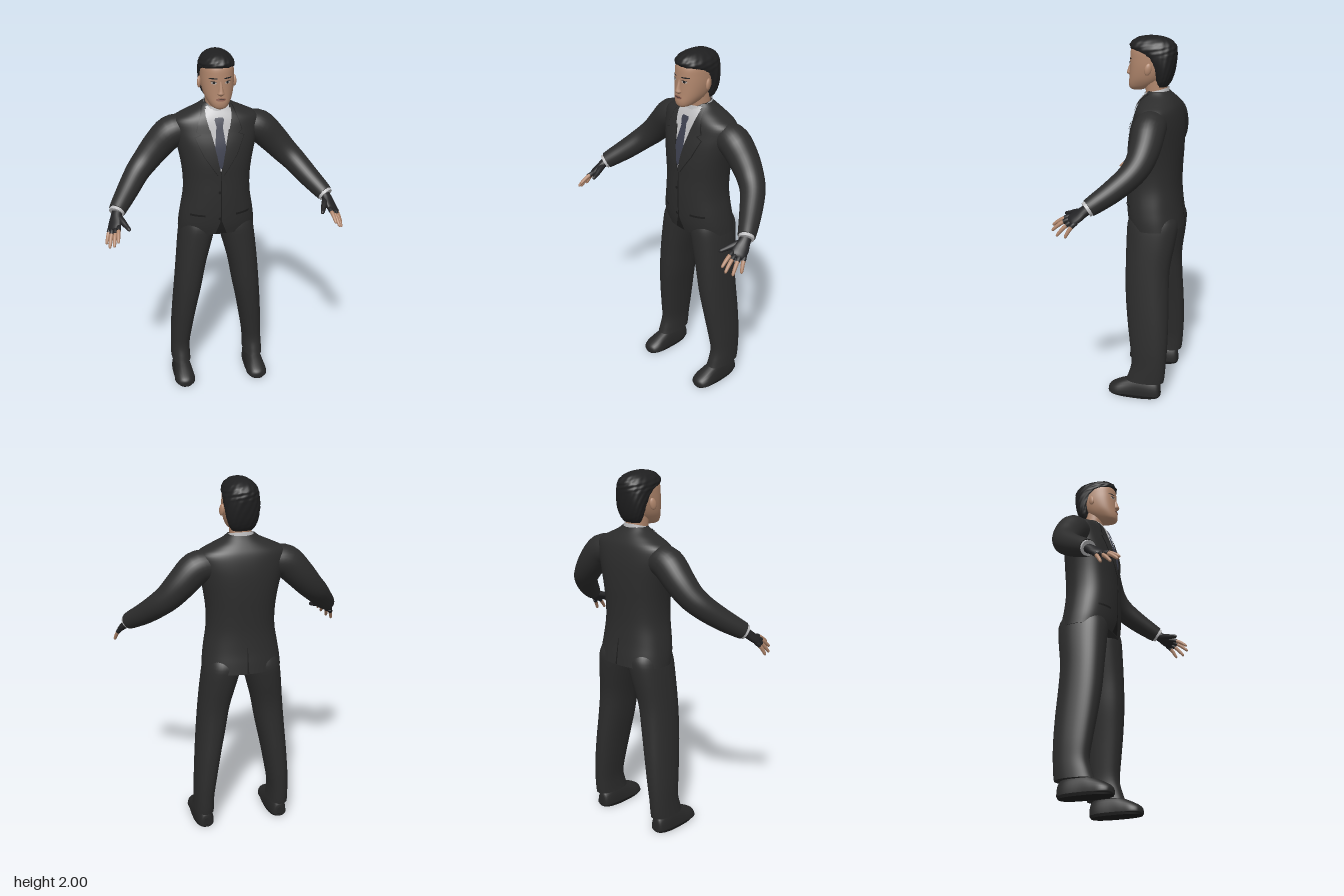
import * as THREE from 'three';

const mat = (name, color, side = THREE.FrontSide) => {
  const m = new THREE.MeshStandardMaterial({ color, side });
  m.name = name;
  return m;
};

// Smoothly subdivide a short table of numbers (Catmull-Rom on each column)
function densify(rows, k = 4) {
  const out = [], at = i => rows[Math.min(Math.max(i, 0), rows.length - 1)];
  for (let i = 0; i < rows.length - 1; i++) for (let s = 0; s < k; s++) {
    const t = s / k, [a, b, c, d] = [at(i - 1), at(i), at(i + 1), at(i + 2)];
    out.push(b.map((v, j) => v + 0.5 * t * (c[j] - a[j] + t * (2 * a[j] - 5 * v + 4 * c[j] - d[j]
      + t * (3 * (v - c[j]) + d[j] - a[j])))));
  }
  out.push(at(rows.length - 1));
  return out;
}

function build(positions, index) {
  const g = new THREE.BufferGeometry();
  g.setAttribute('position', new THREE.Float32BufferAttribute(positions, 3));
  g.setIndex(index);
  g.computeVertexNormals();
  return g;
}

// Skin a list of rings, each an array of [x, y, z]
function loft(rings, caps = true) {
  const n = rings[0].length, pos = rings.flat(2), idx = [];
  for (let i = 0; i < rings.length - 1; i++) for (let j = 0; j < n; j++) {
    const a = i * n + j, b = i * n + (j + 1) % n;
    idx.push(a, a + n, b, b, a + n, b + n);
  }
  if (caps) [rings[0], rings[rings.length - 1]].forEach((ring, end) => {
    const s = pos.length / 3, mid = [0, 1, 2].map(k => ring.reduce((t, p) => t + p[k], 0) / n);
    pos.push(...ring.flat(), ...mid);
    for (let j = 0; j < n; j++) {
      const a = s + j, b = s + (j + 1) % n;
      idx.push(s + n, ...(end ? [b, a] : [a, b]));
    }
  });
  return build(pos, idx);
}

const spow = (v, e) => Math.sign(v) * Math.abs(v) ** e;

// Body form from rows of [y, centreX, halfWidth, zFront, zBack]
function body(rows, { p = 2.3, n = 48, tilt = 0, caps = true, ripple = 0 } = {}) {
  return loft(rows.map(([y, cx, rx, zf, zb]) => Array.from({ length: n }, (_, j) => {
    const a = j / n * Math.PI * 2, cz = (zf + zb) / 2;
    const k = 1 + ripple * Math.sin(a * 11 + y * 170) * Math.sin(a * 5 - y * 90);
    const z = cz + k * (zf - zb) / 2 * spow(Math.sin(a), 2 / p);
    return [cx + k * rx * spow(Math.cos(a), 2 / p), y + tilt * (cz - z), z];
  })), caps);
}

// Thin sheet laid on a body form; outline rows are [y, x0, x1] from low to high
function drape(form, outline, off = 0.004, side = 1, p = 2.3) {
  const rows = [], pos = [], idx = [], C = 8;
  outline.forEach((r, i) => {
    const q = outline[i + 1];
    for (let s = 0; s < (q ? 5 : 1); s++) rows.push(r.map((v, k) => q ? v + (q[k] - v) * s / 5 : v));
  });
  for (const [y, x0, x1] of rows) {
    let i = 0;
    while (i < form.length - 2 && form[i + 1][0] < y) i++;
    const t = THREE.MathUtils.clamp((y - form[i][0]) / (form[i + 1][0] - form[i][0]), 0, 1);
    const [, , rx, zf, zb] = form[i].map((v, k) => v + (form[i + 1][k] - v) * t);
    for (let c = 0; c <= C; c++) {
      const x = x0 + (x1 - x0) * (side > 0 ? c : C - c) / C;
      const u = Math.min(Math.abs(x) / rx, 1);
      pos.push(x, y, (zf + zb) / 2 + side * ((zf - zb) / 2 * (1 - u ** p) ** (1 / p) + off));
    }
  }
  for (let r = 0; r < rows.length - 1; r++) for (let c = 0; c < C; c++) {
    const a = r * (C + 1) + c, b = a + C + 1;
    idx.push(a, a + 1, b, b, a + 1, b + 1);
  }
  return build(pos, idx);
}

const oval = (x, y, rx, ry) => [-1, -0.8, -0.4, 0, 0.4, 0.8, 1].map(t => {
  const w = rx * Math.sqrt(1 - t * t);
  return [y + t * ry, x - w, x + w];
});

// Limb from rows of [x, y, z, radiusAlongRef, otherRadius]
function limb(points, ref = [0, 0, 1], n = 20) {
  const rows = densify(points), R = new THREE.Vector3(...ref);
  const v = r => new THREE.Vector3(r[0], r[1], r[2]);
  return loft(rows.map((r, i) => {
    const T = v(rows[Math.min(i + 1, rows.length - 1)]).sub(v(rows[Math.max(i - 1, 0)])).normalize();
    const B = T.clone().cross(R).normalize(), N = T.clone().cross(B);
    return Array.from({ length: n }, (_, j) => {
      const a = j / n * Math.PI * 2;
      return v(r).addScaledVector(N, r[3] * Math.cos(a)).addScaledVector(B, (r[4] ?? r[3]) * Math.sin(a)).toArray();
    });
  }));
}

function mirrored(g) {
  const m = g.clone().scale(-1, 1, 1), ix = m.index.array;
  for (let i = 0; i < ix.length; i += 3) [ix[i], ix[i + 1]] = [ix[i + 1], ix[i]];
  m.computeVertexNormals();
  return m;
}

export function createModel() {
  const group = new THREE.Group();
  const suit = mat('suit charcoal', 0x2c2c2c), trim = mat('dark trim', 0x1c1c1c);
  const hairMat = mat('black hair', 0x1f1f20), skin = mat('skin', 0xb0866c);
  const shirt = mat('shirt white', 0xbcbcbe, THREE.DoubleSide), tieMat = mat('tie slate', 0x3d404f);
  const lip = mat('lips', 0x8e5f50), eyeMat = mat('eye white', 0xb5aaa2);
  const gloveMat = mat('glove black', 0x232325), shoeMat = mat('shoe black', 0x272727);
  const add = (name, g, m) => {
    const mesh = new THREE.Mesh(g, m);
    mesh.name = name;
    group.add(mesh);
  };
  const pair = (name, g, m) => { add(name + 'Left', g, m); add(name + 'Right', mirrored(g), m); };

  // Jacket body
  const torso = densify([
    [0.975, 0, 0.217, 0.025, -0.272], [1.03, 0, 0.213, 0.037, -0.265], [1.1, 0, 0.203, 0.043, -0.255],
    [1.2, 0, 0.187, 0.045, -0.248], [1.3, 0, 0.187, 0.042, -0.25], [1.4, 0, 0.2, 0.04, -0.255],
    [1.5, 0, 0.222, 0.025, -0.255], [1.57, 0, 0.236, 0.004, -0.248], [1.625, 0, 0.232, -0.014, -0.235],
    [1.66, 0, 0.17, -0.03, -0.217], [1.69, 0, 0.105, -0.05, -0.195], [1.712, 0, 0.075, -0.065, -0.175]]);
  add('jacket', body(torso, { n: 64 }), suit);
  add('jacketOpening', drape(torso, [[0.978, -0.03, 0.035], [1.06, -0.002, 0.006], [1.34, -0.002, 0.003]], 0.002), trim);
  add('backVent', drape(torso, [[0.978, -0.005, 0.005], [1.12, -0.002, 0.002]], 0.002, -1), trim);
  for (const y of [1.08, 1.24]) add('button', drape(torso, oval(-0.006, y, 0.009, 0.009), 0.006), trim);
  pair('pocketFlap', drape(torso, [[1.092, 0.085, 0.165], [1.104, 0.085, 0.165]], 0.003), trim);

  // Shirt front, tie and lapels
  add('shirtFront', drape(torso, [[1.36, -0.002, 0.002], [1.5, -0.034, 0.034], [1.6, -0.056, 0.056], [1.7, -0.066, 0.066]], 0.003), shirt);
  add('tie', drape(torso, [[1.38, -0.004, 0.004], [1.43, -0.026, 0.026], [1.5, -0.03, 0.03], [1.605, -0.017, 0.017]], 0.007), tieMat);
  add('tieKnot', drape(torso, [[1.6, -0.016, 0.016], [1.64, -0.026, 0.026], [1.65, -0.02, 0.02]], 0.012), tieMat);
  pair('collarWing', drape(torso, [[1.59, 0.05, 0.054], [1.63, 0.027, 0.064], [1.66, 0.01, 0.07], [1.69, 0.03, 0.07]], 0.01), shirt);
  const lapel = [[1.34, 0, 0.015], [1.45, 0.02, 0.088], [1.55, 0.043, 0.132], [1.565, 0.047, 0.1],
    [1.58, 0.05, 0.122], [1.62, 0.058, 0.11], [1.7, 0.066, 0.08]];
  pair('lapelEdge', drape(torso, lapel.map(([y, a, b]) => [y, a - 0.002, b + 0.004]), 0.005), trim);
  pair('lapel', drape(torso, lapel, 0.008), suit);

  // Neck and shirt collar
  add('neck', body([[1.6, 0, 0.056, -0.06, -0.163], [1.68, 0, 0.056, -0.055, -0.163], [1.77, 0, 0.058, -0.04, -0.165]]), skin);
  add('shirtCollar', body(densify([[1.665, 0, 0.077, -0.03, -0.18], [1.715, 0, 0.066, -0.045, -0.173]]), { tilt: 0.25, caps: false }), shirt);

  // Head and face
  const head = densify([
    [1.712, 0, 0.022, 0.03, -0.03], [1.722, 0, 0.042, 0.04, -0.06], [1.745, 0, 0.06, 0.044, -0.11],
    [1.78, 0, 0.076, 0.04, -0.15], [1.83, 0, 0.086, 0.037, -0.185], [1.88, 0, 0.088, 0.035, -0.2],
    [1.93, 0, 0.084, 0.029, -0.2], [1.965, 0, 0.06, 0, -0.17], [1.985, 0, 0.03, -0.04, -0.13]]);
  add('head', body(head), skin);
  add('nose', body(densify([[1.788, 0, 0.012, 0.046, 0], [1.799, 0, 0.02, 0.057, 0], [1.815, 0, 0.014, 0.053, 0],
    [1.855, 0, 0.009, 0.039, 0], [1.875, 0, 0.006, 0.033, 0]]), { n: 16 }), skin);
  add('mouth', drape(head, oval(0, 1.768, 0.027, 0.009), 0.003), lip);
  add('mouthLine', drape(head, oval(0, 1.769, 0.025, 0.0015), 0.005), trim);
  pair('eye', drape(head, oval(0.036, 1.856, 0.015, 0.006), 0.002), eyeMat);
  pair('iris', drape(head, oval(0.036, 1.857, 0.006, 0.006), 0.003), hairMat);
  pair('eyelid', drape(head, oval(0.037, 1.863, 0.016, 0.002), 0.003), hairMat);
  pair('eyebrow', drape(head, oval(0.039, 1.879, 0.022, 0.0035), 0.002), hairMat);
  const ear = new THREE.SphereGeometry(1, 16, 12).scale(0.011, 0.032, 0.019).rotateX(-0.2).rotateY(0.35).translate(0.093, 1.832, -0.083);
  pair('ear', ear, skin);
  add('hair', body(densify([
    [1.735, 0, 0.052, -0.115, -0.168], [1.76, 0, 0.07, -0.11, -0.185], [1.8, 0, 0.083, -0.1, -0.2],
    [1.85, 0, 0.091, -0.075, -0.21], [1.9, 0, 0.094, -0.025, -0.215], [1.925, 0, 0.093, 0.02, -0.215],
    [1.945, 0, 0.089, 0.037, -0.212], [1.97, 0, 0.073, 0.024, -0.193], [1.99, 0, 0.044, -0.01, -0.155],
    [1.999, 0, 0.014, -0.06, -0.11]]), { n: 72, ripple: 0.022 }), hairMat);

  // Sleeves and shirt cuffs
  pair('sleeve', limb([[0.17, 1.56, -0.13, 0.08], [0.245, 1.545, -0.13, 0.088], [0.32, 1.472, -0.13, 0.082],
    [0.385, 1.4, -0.115, 0.073], [0.44, 1.345, -0.08, 0.066], [0.5, 1.28, -0.008, 0.059],
    [0.55, 1.23, 0.06, 0.051], [0.572, 1.208, 0.092, 0.046]], [0, 0, 1], 32), suit);
  pair('shirtCuff', limb([[0.565, 1.215, 0.082, 0.042], [0.579, 1.2, 0.103, 0.041]]), shirt);

  // Fingerless gloves, fingers and thumbs
  const across = [0.047, -0.02, -0.04];
  pair('glovePalm', limb([[0.57, 1.208, 0.09, 0.032, 0.026], [0.58, 1.19, 0.115, 0.032, 0.024],
    [0.589, 1.168, 0.143, 0.04, 0.021], [0.598, 1.147, 0.172, 0.041, 0.018], [0.602, 1.137, 0.184, 0.036, 0.012]], across), gloveMat);
  const fingers = [
    [[0.576, 1.158, 0.19], [0.588, 1.108, 0.278]], [[0.592, 1.146, 0.192], [0.61, 1.085, 0.276]],
    [[0.608, 1.138, 0.175], [0.632, 1.065, 0.245]], [[0.62, 1.134, 0.153], [0.645, 1.064, 0.196]]];
  fingers.forEach(([a, b]) => {
    const at = (t, r) => [...a.map((v, k) => v + (b[k] - v) * t + (k === 1 ? 0.03 * t * (1 - t) : 0)), r];
    pair('gloveFinger', limb([at(-0.2, 0.012), at(0.1, 0.013), at(0.3, 0.0125)], across, 12), gloveMat);
    pair('finger', limb([at(0.2, 0.011), at(0.5, 0.0105), at(0.8, 0.009), at(0.95, 0.007), at(1, 0.002)], across, 12), skin);
  });
  pair('thumb', limb([[0.572, 1.188, 0.12, 0.018], [0.552, 1.175, 0.165, 0.017], [0.536, 1.163, 0.2, 0.013],
    [0.525, 1.156, 0.226, 0.01], [0.522, 1.154, 0.235, 0.003]], [0, 1, 0], 14), gloveMat);

  // Trousers
  pair('trouserLeg', body(densify([
    [0.095, 0.222, 0.056, 0.0, -0.215], [0.13, 0.222, 0.055, -0.012, -0.22], [0.2, 0.22, 0.055, -0.03, -0.225],
    [0.3, 0.211, 0.061, -0.02, -0.23], [0.45, 0.193, 0.069, 0, -0.23], [0.6, 0.172, 0.078, 0.015, -0.225],
    [0.75, 0.152, 0.085, 0.02, -0.225], [0.9, 0.125, 0.097, 0.022, -0.248], [1.0, 0.106, 0.102, 0.02, -0.257],
    [1.06, 0.1, 0.09, 0, -0.23]])), suit);

  // Shoes: rows of z, half width, height
  const shoe = densify([[-0.195, 0.02, 0.06], [-0.185, 0.038, 0.09], [-0.14, 0.049, 0.115], [-0.06, 0.052, 0.12],
    [0, 0.057, 0.098], [0.05, 0.06, 0.075], [0.085, 0.048, 0.056], [0.1, 0.028, 0.042], [0.105, 0.01, 0.03]]);
  pair('shoe', loft(shoe.map(([z, w, h]) => Array.from({ length: 28 }, (_, j) => {
    const a = j / 28 * Math.PI * 2, s = -Math.sin(a);
    return [0.22 + w * spow(Math.cos(a), 0.85), 0.015 + (s > 0 ? s * (h - 0.015) : s * 0.01), z];
  }))), shoeMat);
  pair('sole', body([[0, 0.22, 0.056, 0.1, -0.192], [0.016, 0.22, 0.06, 0.105, -0.196]], { p: 2.6 }), trim);

  return group;
}
